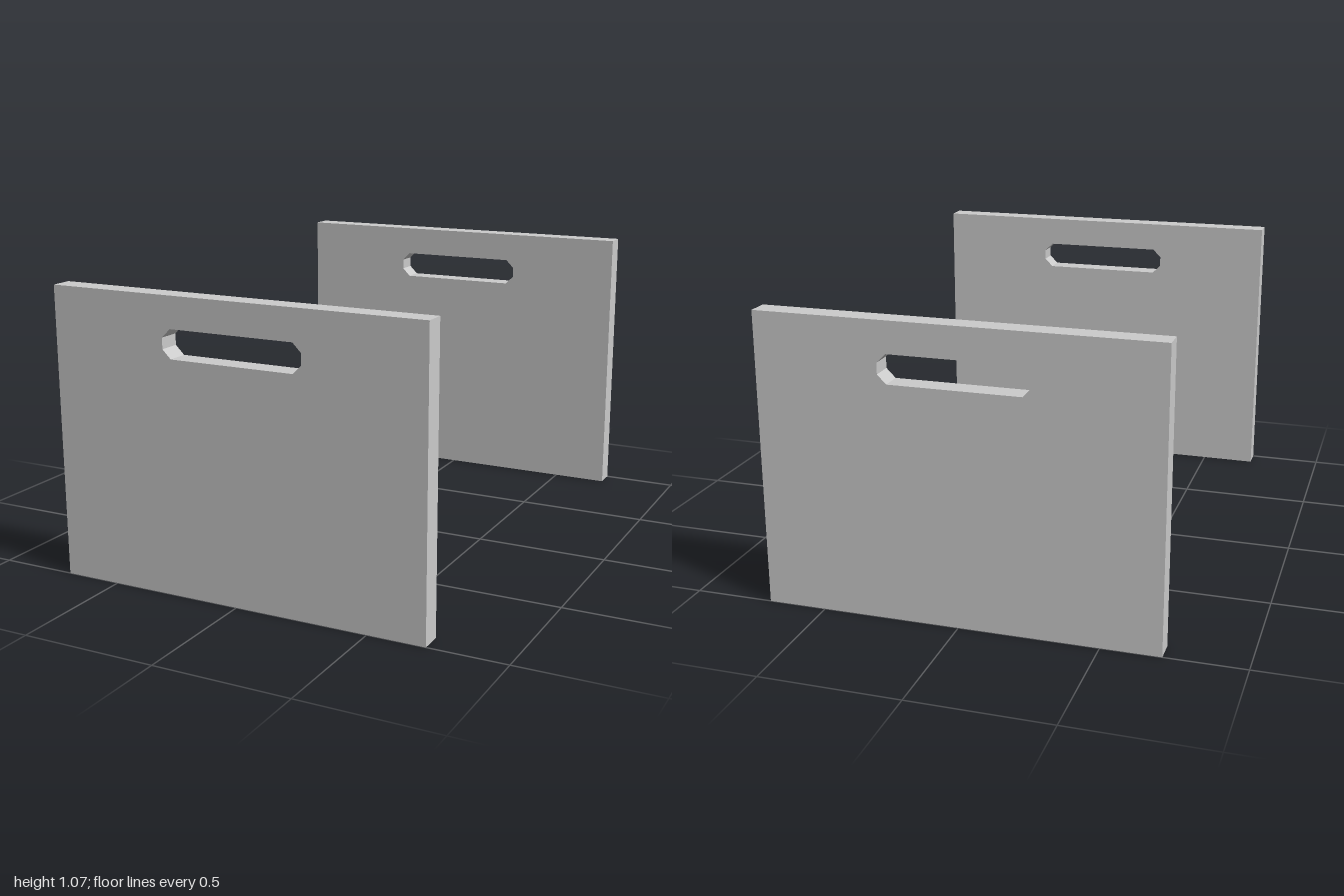
import * as THREE from 'three';

const WIDTH = 1.426, HEIGHT = 1.07, THICKNESS = 0.08;

// Rectangular board outline with a chamfered handle slot
function panelShape() {
  const w = WIDTH / 2;
  const shape = new THREE.Shape([
    new THREE.Vector2(-w, 0), new THREE.Vector2(w, 0),
    new THREE.Vector2(w, HEIGHT), new THREE.Vector2(-w, HEIGHT),
  ]);
  const cy = 0.904, halfLength = 0.267, halfHeight = 0.052, chamfer = 0.032;
  const a = halfLength - chamfer, b = halfHeight - chamfer;
  const slot = [
    [-a, -halfHeight], [-halfLength, -b], [-halfLength, b], [-a, halfHeight],
    [a, halfHeight], [halfLength, b], [halfLength, -b], [a, -halfHeight],
  ];
  shape.holes.push(new THREE.Path(slot.map(([x, y]) => new THREE.Vector2(x, cy + y))));
  return shape;
}

export function createModel() {
  const model = new THREE.Group();
  model.name = 'handlePanels';
  const material = new THREE.MeshStandardMaterial({ color: 0xcccccc, flatShading: true });
  const geometry = new THREE.ExtrudeGeometry(panelShape(), { depth: THICKNESS, bevelEnabled: false });
  geometry.translate(0, 0, 1 - THICKNESS);

  // Two identical end panels, the back one turned half a circle
  for (const [name, angle] of [['frontPanel', 0], ['backPanel', Math.PI]]) {
    const panel = new THREE.Mesh(geometry, material);
    panel.name = name;
    panel.rotation.y = angle;
    model.add(panel);
  }
  return model;
}
